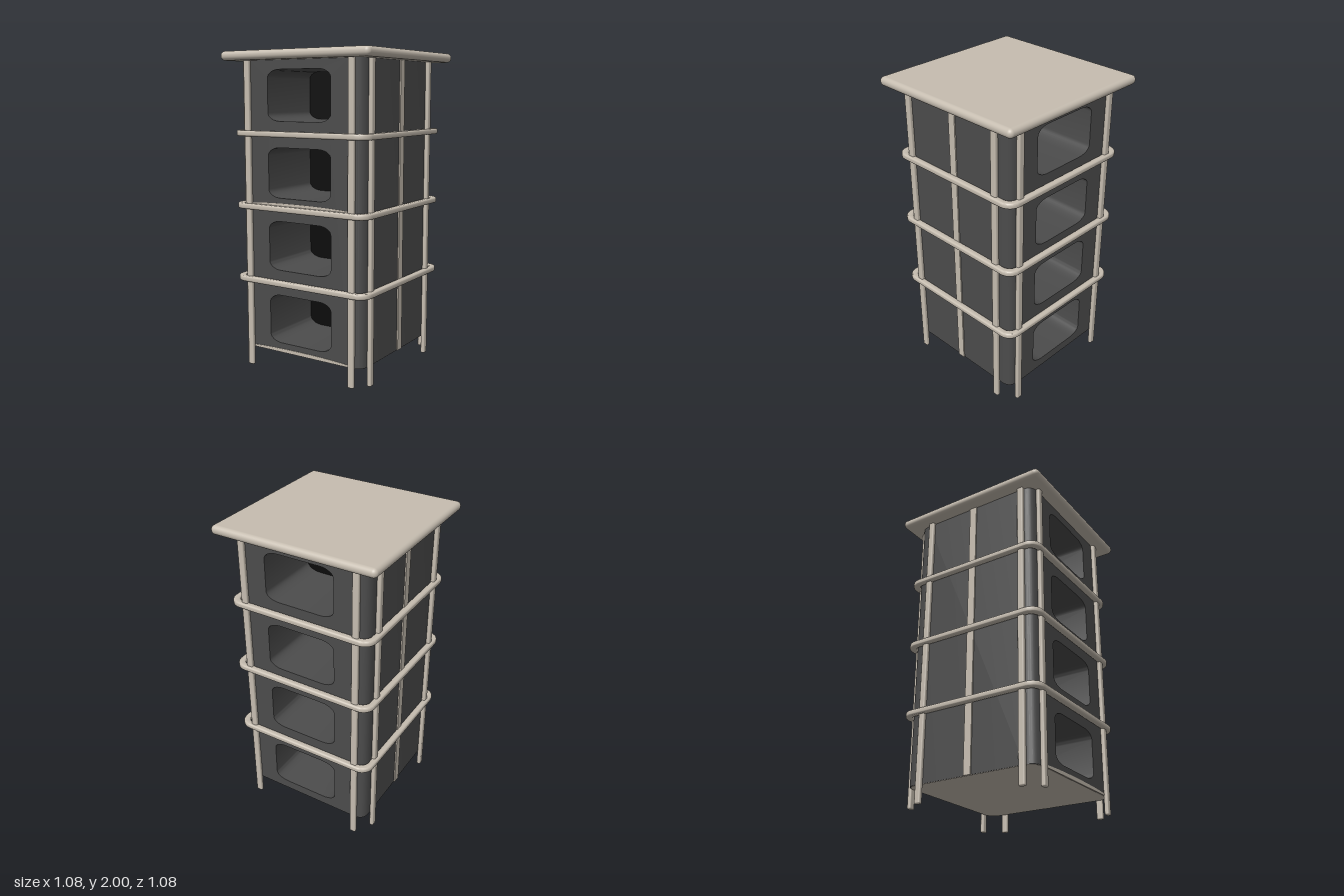
import * as THREE from 'three';
import { RoundedBoxGeometry } from 'three/addons/geometries/RoundedBoxGeometry.js';
import { toCreasedNormals } from 'three/addons/utils/BufferGeometryUtils.js';

const BOTTOM = 0.12, TOP = 1.95, HALF = 0.45, CORE = 0.37;
const dark = new THREE.MeshStandardMaterial({ color: 0x4c4c4c });
const black = new THREE.MeshStandardMaterial({ color: 0x0b0b0b });
const light = new THREE.MeshStandardMaterial({ color: 0xc6bdb0 });

// Rectangle with elliptical corners, drawn on a Shape or a Path
function roundRect(path, x0, y0, x1, y1, rx, ry) {
  const k = 0.45;
  path.moveTo(x0 + rx, y0);
  path.lineTo(x1 - rx, y0);
  path.bezierCurveTo(x1 - rx * k, y0, x1, y0 + ry * k, x1, y0 + ry);
  path.lineTo(x1, y1 - ry);
  path.bezierCurveTo(x1, y1 - ry * k, x1 - rx * k, y1, x1 - rx, y1);
  path.lineTo(x0 + rx, y1);
  path.bezierCurveTo(x0 + rx * k, y1, x0, y1 - ry * k, x0, y1 - ry);
  path.lineTo(x0, y0 + ry);
  path.bezierCurveTo(x0, y0 + ry * k, x0 + rx * k, y0, x0 + rx, y0);
  return path;
}

const square = (path, h, r) => roundRect(path, -h, -h, h, h, r, r);

function extrude(shape, depth, options = {}) {
  const geo = new THREE.ExtrudeGeometry(shape, { depth, bevelEnabled: false, curveSegments: 8, ...options });
  return toCreasedNormals(geo, 0.7);
}

export function createModel() {
  const model = new THREE.Group();
  const add = (name, geo, material, x = 0, y = 0, z = 0) => {
    const mesh = new THREE.Mesh(geo, material);
    mesh.name = name;
    mesh.position.set(x, y, z);
    model.add(mesh);
    return mesh;
  };

  // Middle of the cabinet, with four openings running front to back
  const core = new THREE.Shape();
  core.moveTo(-CORE, BOTTOM);
  core.lineTo(CORE, BOTTOM);
  core.lineTo(CORE, TOP);
  core.lineTo(-CORE, TOP);
  core.closePath();
  for (const y of [0.335, 0.805, 1.26, 1.73]) {
    core.holes.push(roundRect(new THREE.Path(), -0.23, y - 0.155, 0.23, y + 0.155, 0.09, 0.05));
    // Divider between the front and the back compartment
    add('divider', new THREE.BoxGeometry(0.48, 0.33, 0.01), black, 0, y, 0);
  }
  add('cabinetCore', extrude(core, HALF * 2), dark, 0, 0, -HALF);

  // Side walls with rounded outer corners
  const r = 0.075;
  for (const s of [-1, 1]) {
    const wall = new THREE.Shape();
    wall.moveTo(s * CORE, -HALF);
    wall.lineTo(s * (HALF - r), -HALF);
    wall.quadraticCurveTo(s * HALF, -HALF, s * HALF, -HALF + r);
    wall.lineTo(s * HALF, HALF - r);
    wall.quadraticCurveTo(s * HALF, HALF, s * (HALF - r), HALF);
    wall.lineTo(s * CORE, HALF);
    wall.closePath();
    add('sideWall', extrude(wall, TOP - BOTTOM), dark, 0, TOP, 0).rotation.x = Math.PI / 2;
    add('sideStrip', new THREE.BoxGeometry(0.016, TOP - BOTTOM, 0.05), light,
      s * HALF, (TOP + BOTTOM) / 2, 0);
  }

  // Floor plate under the cabinet
  const floor = extrude(square(new THREE.Shape(), HALF - 0.002, r), 0.01);
  add('floorPlate', floor, light, 0, BOTTOM + 0.008, 0).rotation.x = Math.PI / 2;

  // Shallow arched trims on the front
  const arch = new THREE.Shape();
  arch.moveTo(-CORE, 0);
  arch.lineTo(CORE, 0);
  arch.lineTo(CORE, 0.012);
  arch.bezierCurveTo(0.2, 0.028, -0.2, 0.028, -CORE, 0.012);
  arch.closePath();
  for (const y of [BOTTOM, 1.05]) add('archedTrim', extrude(arch, 0.004), light, 0, y, HALF - 0.001);

  // Posts on all four sides, reaching down as legs
  const post = new RoundedBoxGeometry(0.042, TOP, 0.028, 2, 0.009);
  for (const s of [-1, 1]) {
    for (const z of [-0.46, 0.46]) add('postLeg', post, light, s * 0.38, TOP / 2, z);
    for (const z of [-0.34, 0.37]) {
      add('sidePostLeg', post, light, s * 0.46, TOP / 2, z).rotation.y = Math.PI / 2;
    }
  }

  // Rails wrapped around the cabinet
  const ring = square(new THREE.Shape(), 0.48, 0.07);
  ring.holes.push(square(new THREE.Path(), 0.46, 0.06));
  const rail = extrude(ring, 0.016, {
    bevelEnabled: true, bevelSize: 0.01, bevelThickness: 0.01, bevelSegments: 3,
  });
  for (const y of [0.57, 1.04, 1.497]) {
    add('rail', rail, light, 0, y + 0.008, 0).rotation.x = Math.PI / 2;
  }

  // Overhanging top
  add('topBoard', new RoundedBoxGeometry(1.075, 0.058, 1.075, 4, 0.028), light, 0, 1.971, 0);
  return model;
}
